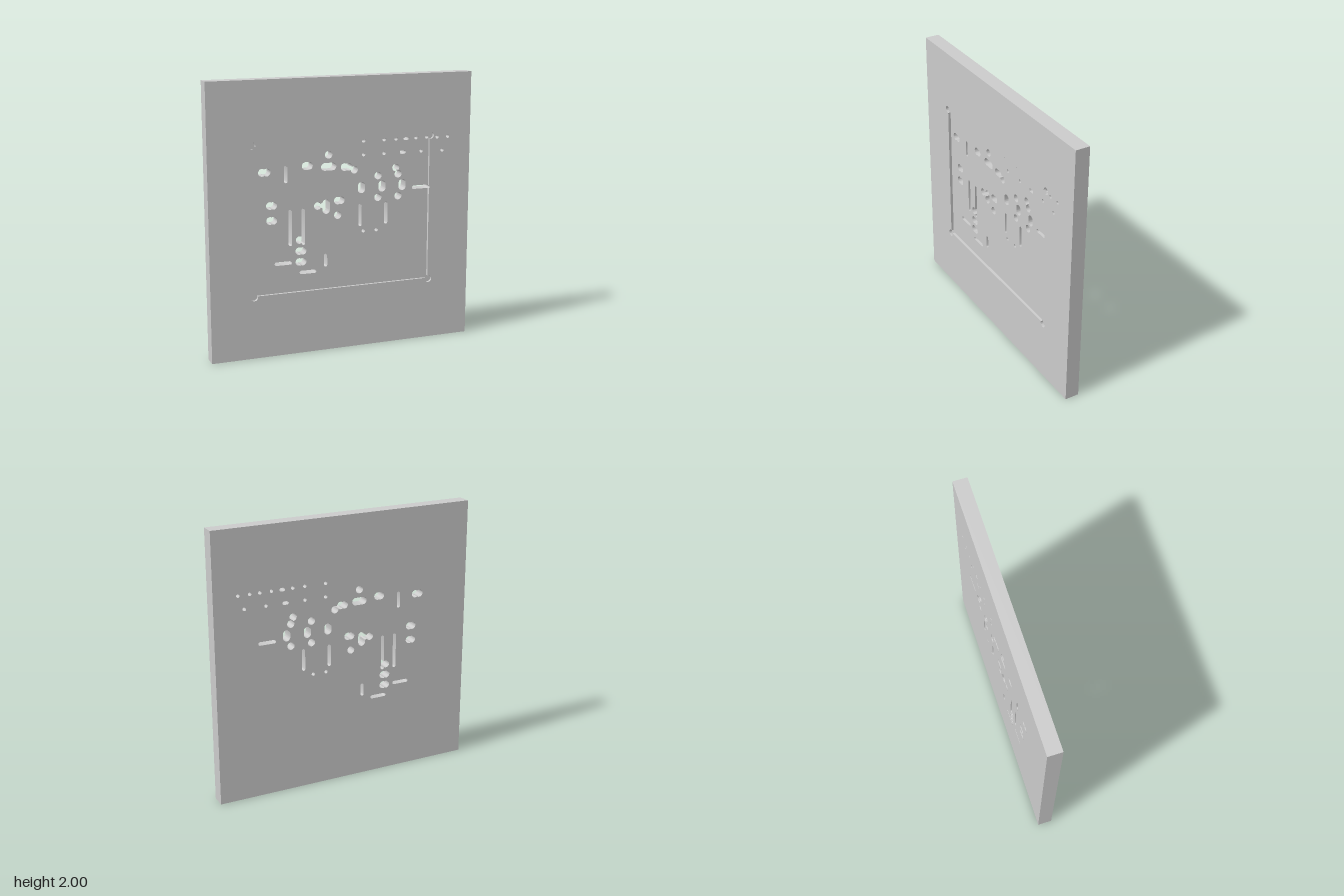
import * as THREE from 'three';
import { mergeGeometries, toCreasedNormals } from 'three/addons/utils/BufferGeometryUtils.js';

const FRONT = 0.053, BACK = -0.053, FLOOR = 0.033;
const R = 0.028, S = 0.013; // large and small cutter radii

// Counter-clockwise outline of a slot between two centres (a circle if they coincide)
function slot(x1, y1, x2 = x1, y2 = y1, r = R, n = 14) {
  const pts = [];
  const round = x1 === x2 && y1 === y2;
  const a = round ? 0.05 : Math.atan2(y2 - y1, x2 - x1);
  [[x2, y2, a - Math.PI / 2], [x1, y1, a + Math.PI / 2]].forEach(([x, y, start]) => {
    for (let i = 0; i < (round ? n : n + 1); i++) {
      const t = start + Math.PI * i / n;
      pts.push(new THREE.Vector2(x + r * Math.cos(t), y + r * Math.sin(t)));
    }
  });
  return pts;
}
const circle = (x, y, r = R) => slot(x, y, x, y, r);
const small = (x, y) => circle(x, y, S);
// Narrow slots given by their overall extents
const across = (x1, x2, y, r = S) => slot(x1 + r, y, x2 - r, y, r);
const upright = (x, y1, y2, r = S) => slot(x, y1 + r, x, y2 - r, r);

// Stretch of outline P outside C (or inside it), for outlines that cross twice
function stretch(P, C, inside) {
  const ring = [];
  P.forEach((p, i) => {
    const d = P[(i + 1) % P.length].clone().sub(p);
    const hits = [];
    ring.push({ p });
    C.forEach((c, j) => {
      const e = C[(j + 1) % C.length].clone().sub(c), w = c.clone().sub(p);
      const k = d.cross(e);
      if (Math.abs(k) < 1e-12) return;
      const t = w.cross(e) / k, u = w.cross(d) / k;
      if (t >= 0 && t < 1 && u >= 0 && u < 1) {
        hits.push({ p: p.clone().addScaledVector(d, t), t, kind: k > 0 ? 'exit' : 'enter' });
      }
    });
    ring.push(...hits.sort((a, b) => a.t - b.t));
  });
  const from = ring.findIndex((q) => q.kind === (inside ? 'enter' : 'exit'));
  if (from < 0) return inside ? [] : P;
  const out = [ring[from].p];
  for (let i = 1; i < ring.length; i++) {
    const q = ring[(from + i) % ring.length];
    out.push(q.p);
    if (q.kind) break;
  }
  return out;
}
const join = (a, b) => [...a.slice(0, -1), ...b.slice(0, -1)];
const union = (P, C) => join(stretch(P, C, false), stretch(C, P, false));
const subtract = (P, C) => join(stretch(P, C, false), stretch(C, P, true).reverse());
const merged = (...parts) => parts.reduce(union);
const pair = (x1, x2, y) => merged(circle(x1, y), circle(x2, y));

// Flat face with openings, at depth z
function face(outline, openings, z, flip = false) {
  const shape = new THREE.Shape(outline);
  shape.holes = openings.map((o) => new THREE.Path(o));
  const g = new THREE.ShapeGeometry(shape).toNonIndexed();
  if (flip) { // mirror across x, then turn around, so the face looks backwards
    g.scale(-1, 1, 1);
    const p = g.attributes.position;
    for (let i = 0; i < p.count; i++) p.setX(i, -p.getX(i));
    for (let i = 0; i < p.count; i += 3) {
      const x = p.getX(i), y = p.getY(i);
      p.setXY(i, p.getX(i + 1), p.getY(i + 1));
      p.setXY(i + 1, x, y);
    }
    g.computeVertexNormals();
  }
  return g.translate(0, 0, z);
}

// Side walls along an outline; hole walls look towards the opening
function walls(outline, z0, z1, hole = true) {
  const pos = [];
  outline.forEach((p, i) => {
    let a = p, b = outline[(i + 1) % outline.length];
    if (a.distanceTo(b) < 1e-7) return;
    if (hole) [a, b] = [b, a];
    pos.push(a.x, a.y, z0, b.x, b.y, z0, b.x, b.y, z1, a.x, a.y, z0, b.x, b.y, z1, a.x, a.y, z1);
  });
  const g = new THREE.BufferGeometry();
  g.setAttribute('position', new THREE.Float32BufferAttribute(pos, 3));
  return toCreasedNormals(g, 0.5);
}

export function createModel() {
  const group = new THREE.Group();
  group.name = 'drilledPlate';
  const material = new THREE.MeshStandardMaterial({ color: 0xcccccc });
  const add = (name, geometry) => {
    const mesh = new THREE.Mesh(geometry, material);
    mesh.name = name;
    group.add(mesh);
  };
  const box = (x, y0, y1) => [[-x, y0], [x, y0], [x, y1], [-x, y1]].map(([a, b]) => new THREE.Vector2(a, b));
  const plate = box(1, 0, 2);

  // Holes cut through the rim of the pocket
  const rimHoles = [
    ...[0.16, 0.32, 0.412, 0.572, 0.658].map((x) => small(x, 1.53)),
    across(0.47, 0.513, 1.53), across(0.545, 0.68, 1.162),
  ];
  // Holes beside the pocket
  const outerHoles = [small(0.733, 1.53), small(0.818, 1.53), small(0.775, 1.43)];
  // Holes through the pocket floor
  const floorHoles = [
    // small pins
    small(0.16, 1.43), small(0.32, 1.43), small(0.615, 1.43), across(0.444, 0.492, 1.43),
    small(0.16, 0.867), small(0.262, 0.867),
    // narrow slots
    upright(-0.43, 1.263, 1.387), upright(-0.401, 0.803, 1.07),
    upright(0.134, 0.905, 1.07), upright(0.337, 0.905, 1.07), upright(-0.134, 0.625, 0.723),
    across(-0.52, -0.39, 0.68), across(-0.333, -0.205, 0.6),
    merged(upright(-0.302, 0.803, 1.07), circle(-0.332, 0.842)),
    // round holes
    circle(-0.108, 1.446), circle(0.273, 1.269), circle(0.273, 1.108), circle(0.433, 1.108), circle(-0.04, 1),
    // wide slots and overlapping round holes
    across(-0.31, -0.228, 1.376, R), across(-0.166, -0.05, 1.36, R),
    pair(-0.604, -0.57, 1.349), pair(-0.55, -0.525, 1.108), pair(-0.55, -0.525, 1),
    pair(-0.04, -0.015, 1.108), pair(-0.335, -0.308, 0.76), pair(-0.335, -0.308, 0.68),
    ...[0.144, 0.305, 0.465].map((x) => upright(x, 1.148, 1.231, R)),
    merged(circle(0.012, 1.349), circle(0.043, 1.349), circle(0.088, 1.325)),
    merged(circle(0.413, 1.319), circle(0.432, 1.271)),
    merged(circle(-0.193, 1.08), circle(-0.155, 1.08, 0.02), upright(-0.128, 1.017, 1.124, R)),
  ];
  const through = [...rimHoles, ...outerHoles, ...floorHoles];

  // Pocket with rounded corner reliefs
  let pocket = box(0.673, 0.463, 1.537);
  for (const x of [-0.68, 0.68]) for (const y of [0.455, 1.545]) pocket = union(pocket, circle(x, y, 0.026));
  const rim = rimHoles.reduce(union, pocket);
  const floor = rimHoles.reduce(subtract, pocket);

  add('frontFace', face(plate, [rim, ...outerHoles], FRONT));
  add('backFace', face(plate, through, BACK, true));
  add('plateEdges', walls(plate, BACK, FRONT, false));
  add('pocketFloor', face(floor, floorHoles, FLOOR));
  add('pocketWalls', walls(rim, FLOOR, FRONT));
  add('holeWalls', mergeGeometries(through.map((o) => walls(o, BACK, outerHoles.includes(o) ? FRONT : FLOOR))));
  return group;
}
